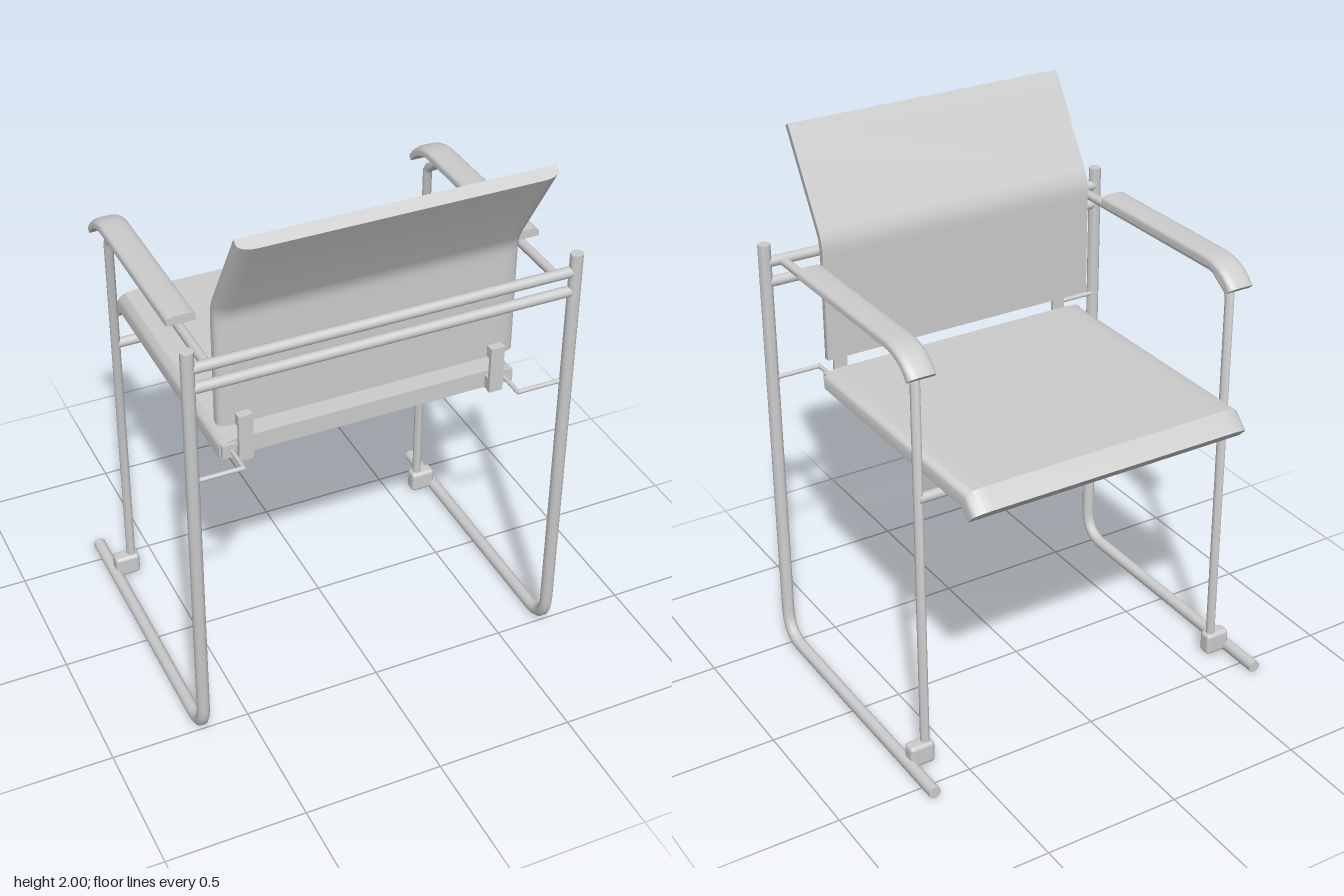
import * as THREE from 'three';
import { toCreasedNormals } from 'three/addons/utils/BufferGeometryUtils.js';
import { RoundedBoxGeometry } from 'three/addons/geometries/RoundedBoxGeometry.js';

const material = new THREE.MeshStandardMaterial({ color: 0xcccccc });

// Sweep a convex [x, n] section along a path of [z, y] points, with mitred joints
function sweep(section, path) {
  const normals = [];
  for (let i = 0; i + 1 < path.length; i++) {
    const dz = path[i + 1][0] - path[i][0], dy = path[i + 1][1] - path[i][1];
    const l = Math.hypot(dz, dy);
    normals.push([dy / l, -dz / l]);
  }
  const positions = [], index = [], count = section.length;
  path.forEach(([z, y], i) => {
    const a = normals[Math.max(i - 1, 0)], b = normals[Math.min(i, normals.length - 1)];
    const k = 1 / (1 + a[0] * b[0] + a[1] * b[1]);
    for (const [x, n] of section) {
      positions.push(x, y + n * (a[1] + b[1]) * k, z + n * (a[0] + b[0]) * k);
    }
  });
  for (let i = 0; i + 1 < path.length; i++) {
    for (let j = 0; j < count; j++) {
      const a = i * count + j, d = i * count + (j + 1) % count;
      index.push(a, a + count, d + count, a, d + count, d);
    }
  }
  const last = (path.length - 1) * count;
  for (let j = 1; j + 1 < count; j++) {
    index.push(0, j, j + 1, last, last + j + 1, last + j);
  }
  const g = new THREE.BufferGeometry();
  g.setAttribute('position', new THREE.Float32BufferAttribute(positions, 3));
  g.setIndex(index);
  return toCreasedNormals(g, 0.75);
}

// Round bar section
function circle(r, sides = 14) {
  return Array.from({ length: sides }, (_, i) => {
    const a = i / sides * Math.PI * 2;
    return [Math.cos(a) * r, Math.sin(a) * r];
  });
}

// Flat-bottomed pad section with softened upper edges
function pad(width, thick, rx, rn) {
  const w = width / 2, h = thick / 2, pts = [[-w, -h], [w, -h]];
  for (const side of [1, -1]) {
    for (let i = 0; i <= 5; i++) {
      const a = (side > 0 ? i : 5 - i) / 5 * Math.PI / 2;
      pts.push([side * (w - rx + rx * Math.cos(a)), h - rn + rn * Math.sin(a)]);
    }
  }
  return pts;
}

// Quarter-bend points between two directions
function bend(from, corner, to, steps = 5) {
  return Array.from({ length: steps + 1 }, (_, i) => {
    const t = i / steps, s = 1 - t;
    return [0, 1].map(k => s * s * from[k] + 2 * s * t * corner[k] + t * t * to[k]);
  });
}

export function createModel() {
  const chair = new THREE.Group();
  chair.name = 'armchair';

  function add(name, geometry, x = 0, y = 0, z = 0) {
    const mesh = new THREE.Mesh(geometry, material);
    mesh.name = name;
    mesh.position.set(x, y, z);
    chair.add(mesh);
    return mesh;
  }
  function box(name, w, h, d, x, y, z) {
    return add(name, new THREE.BoxGeometry(w, h, d), x, y, z);
  }
  function crossBar(name, length, r, x, y, z) {
    add(name, new THREE.CylinderGeometry(r, r, length, 14), x, y, z).rotation.z = Math.PI / 2;
  }

  // Seat with dipped front edge
  add('seat', sweep(pad(1.07, 0.065, 0.07, 0.025),
    [[0.41, 1.112], [-0.545, 1.112], [-0.594, 1.064]]));

  // Backrest, upright below and reclined above
  add('backrest', sweep(pad(1.07, 0.045, 0.06, 0.025),
    [[0.391, 1.205], [0.391, 1.58], ...bend([0.391, 1.6], [0.391, 1.635], [0.41, 1.67], 4), [0.603, 1.988]]));

  // Bars joining the two sides
  crossBar('upperRearBar', 1.36, 0.019, 0, 1.547, 0.528);
  crossBar('lowerRearBar', 1.36, 0.019, 0, 1.473, 0.528);
  crossBar('frontSeatBar', 1.22, 0.018, 0, 1.057, -0.387);

  for (const s of [-1, 1]) {
    const side = s > 0 ? 'left' : 'right';

    // Rear upright running into the floor runner
    add(side + 'RunnerFrame', sweep(circle(0.0225),
      [[0.53, 1.615], ...bend([0.53, 0.13], [0.525, 0.03], [0.43, 0.025]), [-0.57, 0.025]]), s * 0.675);

    // Front leg running into the arm rail
    add(side + 'FrontLegAndRail', sweep(circle(0.0165),
      [[-0.385, 0.05], [-0.385, 1.47], [-0.375, 1.487], [-0.305, 1.535], [-0.285, 1.54], [0.525, 1.54]]), s * 0.608);

    // Clamp holding the front leg to the runner
    add(side + 'FootClamp', new RoundedBoxGeometry(0.095, 0.085, 0.055, 3, 0.015), s * 0.628, 0.055, -0.385);

    // Armrest with drooping tip
    add(side + 'Armrest', sweep(pad(0.1, 0.032, 0.035, 0.016),
      [[0.315, 1.584], [-0.28, 1.584], ...bend([-0.31, 1.583], [-0.39, 1.575], [-0.437, 1.512])]), s * 0.61);

    // Bracket linking seat and backrest
    box(side + 'BracketPlate', 0.05, 0.175, 0.014, s * 0.455, 1.165, 0.438);
    box(side + 'BracketTop', 0.05, 0.042, 0.035, s * 0.455, 1.231, 0.425);
    box(side + 'BracketFoot', 0.05, 0.05, 0.035, s * 0.455, 1.105, 0.425);
    box(side + 'SeatEndCap', 0.05, 0.05, 0.02, s * 0.505, 1.11, 0.412);

    // Thin rod from the upright to the seat
    crossBar(side + 'RodAcross', 0.18, 0.008, s * 0.585, 1.11, 0.52);
    add(side + 'RodAlong', new THREE.CylinderGeometry(0.008, 0.008, 0.12, 10),
      s * 0.497, 1.11, 0.465).rotation.x = Math.PI / 2;
  }
  return chair;
}
